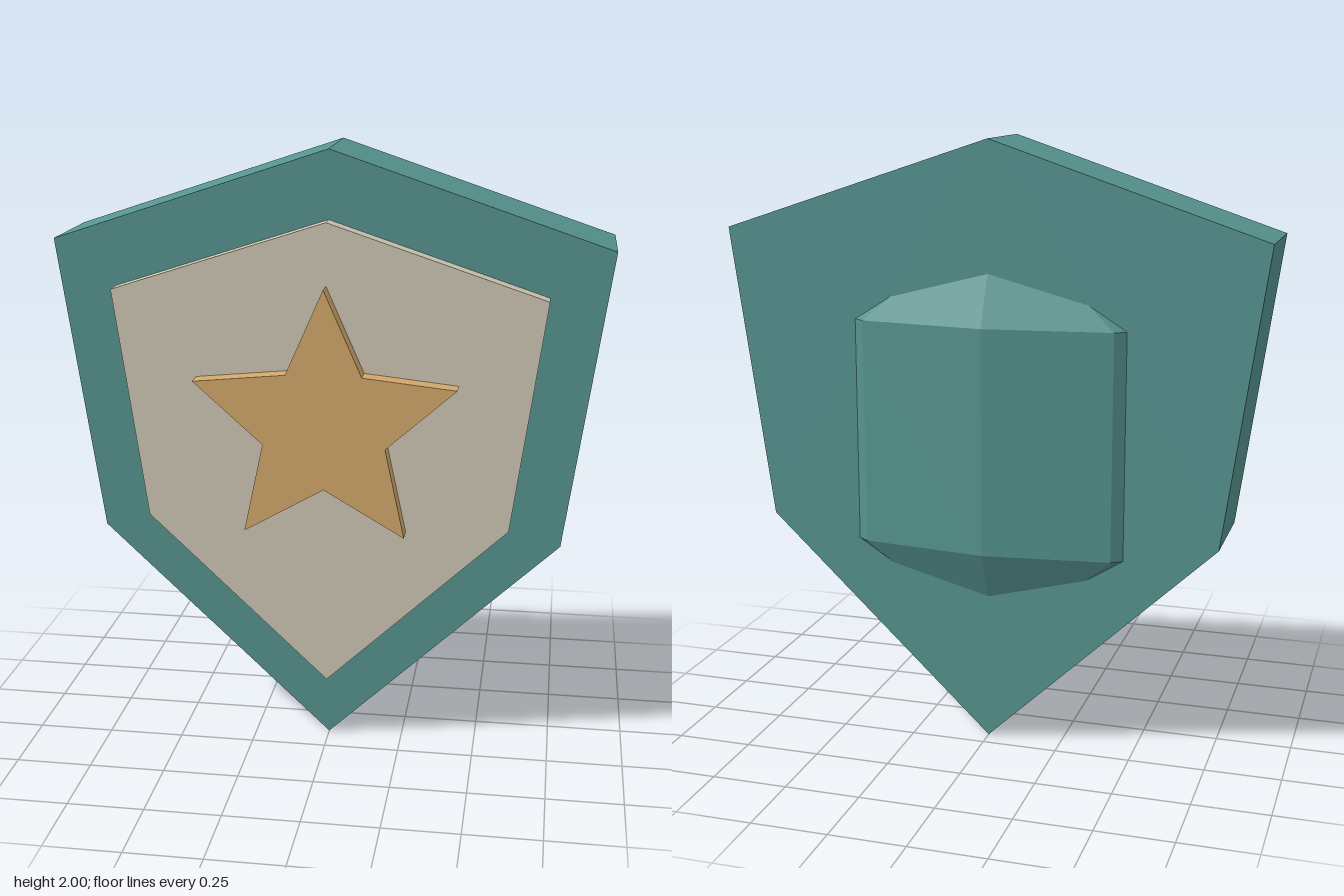
import * as THREE from 'three';

const material = (name, color) => {
  const m = new THREE.MeshStandardMaterial({ color });
  m.name = name;
  return m;
};

// Flat plate cut from an outline, running from z0 to z1
function plate(name, points, z0, z1, mat) {
  const shape = new THREE.Shape(points.map(([x, y]) => new THREE.Vector2(x, y)));
  const geometry = new THREE.ExtrudeGeometry(shape, { depth: z1 - z0, bevelEnabled: false });
  geometry.translate(0, 0, z0);
  const mesh = new THREE.Mesh(geometry, mat);
  mesh.name = name;
  return mesh;
}

// Symmetric six-sided shield outline: peak, shoulder, waist, tip
function shieldOutline(top, [sx, sy], [wx, wy], tip) {
  return [[0, top], [-sx, sy], [-wx, wy], [0, tip], [wx, wy], [sx, sy]];
}

function starOutline(cy, outer, inner) {
  return Array.from({ length: 10 }, (_, i) => {
    const a = Math.PI / 2 + (i * Math.PI) / 5;
    const r = i % 2 ? inner : outer;
    return [r * Math.cos(a), cy + r * Math.sin(a)];
  });
}

export function createModel() {
  const teal = material('teal', 0x579590);
  const cream = material('cream', 0xd0c8b6);
  const gold = material('gold', 0xd4a96c);

  const model = new THREE.Group();
  model.name = 'shield';

  // Body, raised front panel and star emblem
  model.add(
    plate('body', shieldOutline(2, [0.9, 1.7], [0.765, 0.725], 0), -0.188, 0.142, teal),
    plate('frontPanel', shieldOutline(1.78, [0.7, 1.55], [0.597, 0.79], 0.225), 0.142, 0.203, cream),
    plate('star', starOutline(1.133, 0.447, 0.209), 0.203, 0.264, gold),
  );

  // Faceted boss bulging out of the back: a squashed low-poly ball
  const ball = new THREE.SphereGeometry(1, 8, 3);
  ball.scale(0.685, 0.75, 0.202);
  const facets = ball.toNonIndexed();
  facets.computeVertexNormals();
  const boss = new THREE.Mesh(facets, teal);
  boss.name = 'backBoss';
  boss.position.set(0, 1.037, -0.09);
  model.add(boss);

  return model;
}
